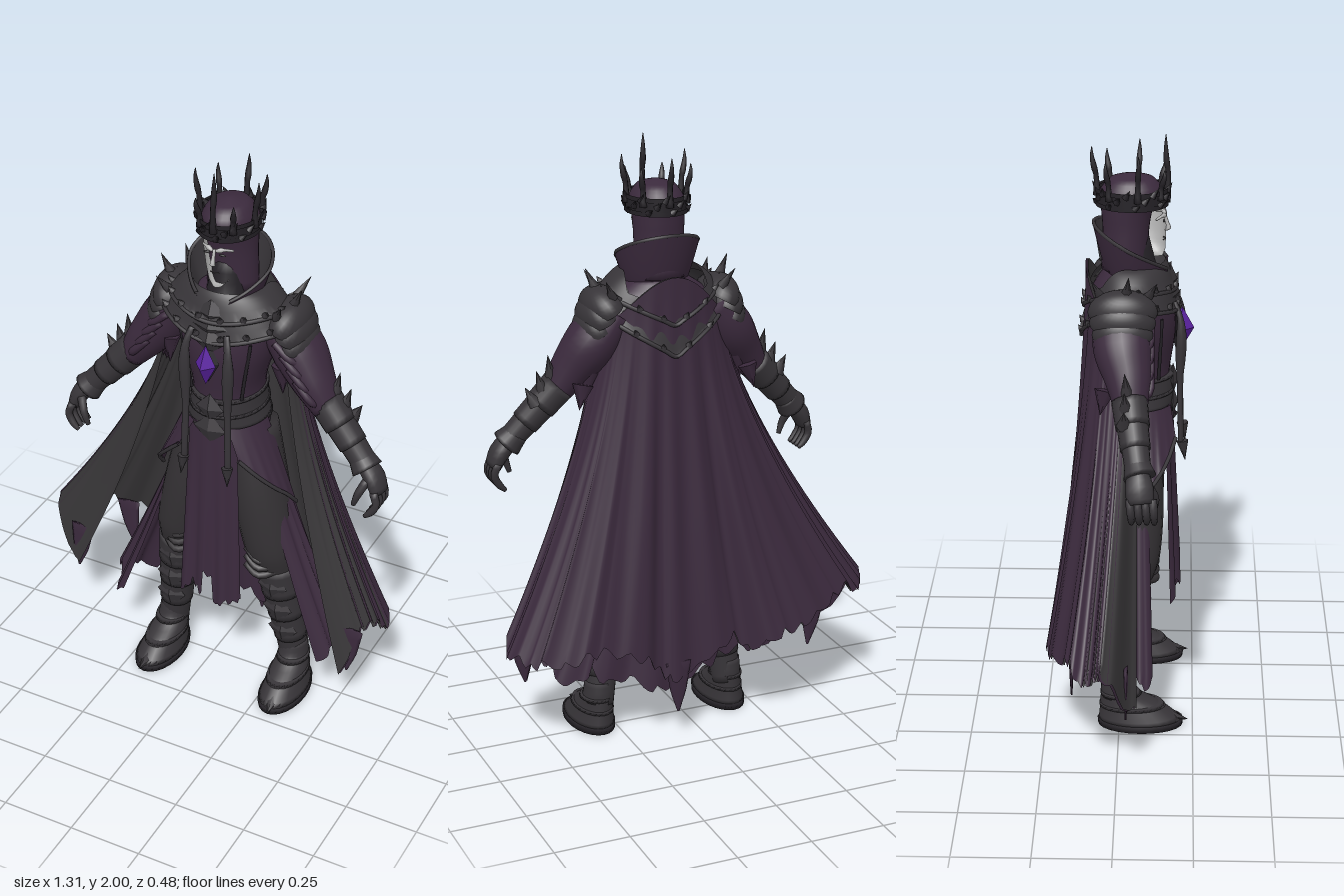
import * as THREE from 'three';

const mat = (name, color, double = true) => {
  const m = new THREE.MeshStandardMaterial({ color, side: double ? THREE.DoubleSide : THREE.FrontSide });
  m.name = name;
  return m;
};
const V = (x, y, z) => new THREE.Vector3(x, y, z);
const lerp = THREE.MathUtils.lerp;
const hash = n => { const s = Math.sin(n * 127.1 + 3.7) * 43758.5453; return s - Math.floor(s); };
// Frayed hem: uneven saw teeth, 0 to 1
const rag = (u, n) => {
  const k = Math.floor(u * n), f = u * n - k;
  return lerp(hash(k), hash(k + 1), f) * 0.6 + 0.4 * Math.abs(f * 2 - 1) * hash(k + 50);
};

function finish(pos, idx) {
  const g = new THREE.BufferGeometry();
  g.setAttribute('position', new THREE.Float32BufferAttribute(pos, 3));
  g.setIndex(idx);
  g.computeVertexNormals();
  return g;
}
// Open cloth or plate surface from fn(u, v)
function sheet(fn, nu, nv) {
  const pos = [], idx = [];
  for (let i = 0; i <= nv; i++) for (let j = 0; j <= nu; j++) pos.push(...fn(j / nu, i / nv));
  for (let i = 0; i < nv; i++) for (let j = 0; j < nu; j++) {
    const a = i * (nu + 1) + j, c = a + nu + 1;
    idx.push(a, c, a + 1, a + 1, c, c + 1);
  }
  return finish(pos, idx);
}
// Closed loft along points [x, y, z, side radius, depth radius]; level keeps the rings horizontal
function limb(pts, steps = 16, sides = 20, level = false) {
  const path = new THREE.CatmullRomCurve3(pts.map(p => V(p[0], p[1], p[2])));
  const rad = new THREE.CatmullRomCurve3(pts.map(p => V(p[3], p[4] ?? p[3], 0)));
  const pos = [], idx = [];
  for (let i = 0; i <= steps; i++) {
    const t = i / steps, c = path.getPoint(t), r = rad.getPoint(t), T = level ? V(0, -1, 0) : path.getTangent(t);
    const S = V().crossVectors(T, V(0, 0, 1)).normalize(), N = V().crossVectors(S, T);
    for (let j = 0; j < sides; j++) {
      const a = j / sides * Math.PI * 2;
      const p = c.clone().addScaledVector(S, Math.cos(a) * r.x).addScaledVector(N, Math.sin(a) * r.y);
      pos.push(p.x, p.y, p.z);
    }
  }
  for (let i = 0; i < steps; i++) for (let j = 0; j < sides; j++) {
    const a = i * sides + j, b = i * sides + (j + 1) % sides;
    idx.push(a, a + sides, b, b, a + sides, b + sides);
  }
  const n = pos.length / 3, last = steps * sides;
  pos.push(...path.getPoint(0).toArray(), ...path.getPoint(1).toArray());
  for (let j = 0; j < sides; j++) {
    const k = (j + 1) % sides;
    idx.push(n, j, k, n + 1, last + k, last + j);
  }
  return finish(pos, idx);
}

export function createModel() {
  const cloth = mat('purple cloth', 0x3b2a3d), lining = mat('grey lining', 0x383638);
  const armor = mat('dark armor', 0x373438), trim = mat('black iron', 0x242126);
  const trousers = mat('trouser cloth', 0x343134), skin = mat('pale skin', 0xb2b2b2, false);
  const gemMat = mat('violet gem', 0x5a22a0, false);
  const root = new THREE.Group(), body = new THREE.Group();
  body.name = 'figure';
  body.position.x = 0.075;
  root.add(body);
  const add = (name, geo, m) => {
    const mesh = new THREE.Mesh(geo, m);
    mesh.name = name;
    body.add(mesh);
    return mesh;
  };
  const diamond = (name, at, size, m) => {
    const d = add(name, new THREE.OctahedronGeometry(1), m);
    d.position.set(...at);
    d.scale.set(...size);
  };
  const spike = (name, a, b, r, m = trim) => {
    const A = V(...a), B = V(...b), d = B.clone().sub(A);
    const mesh = add(name, new THREE.ConeGeometry(r, d.length(), 6), m);
    mesh.position.copy(A).lerp(B, 0.5);
    mesh.quaternion.setFromUnitVectors(V(0, 1, 0), d.normalize());
  };
  // Overlapping flared plates between two points
  const plates = (name, a, b, ra, rb, n, m) => {
    for (let i = 0; i < n; i++) {
      const at = t => a.map((c, k) => lerp(c, b[k], t));
      const t0 = i / n, t1 = (i + 1.2) / n, r0 = lerp(ra, rb, t0), r1 = lerp(ra, rb, t1);
      add(name, limb([[...at(t0), r0], [...at((t0 + t1) / 2), (r0 + r1) / 2 + 0.002], [...at(t1), r1 + 0.005]], 5), m);
    }
  };

  // Torso and belt
  add('torso', limb([[0, 1.56, 0.03, 0.09, 0.08], [0, 1.48, 0.03, 0.18, 0.13], [0, 1.38, 0.035, 0.165, 0.145],
    [0, 1.2, 0.03, 0.116, 0.13], [0, 1.05, 0.03, 0.135, 0.13], [0, 0.92, 0.02, 0.16, 0.11]], 24, 32), cloth);
  add('belt', limb([[0, 1.2, 0.03, 0.12, 0.137], [0, 1.15, 0.03, 0.124, 0.143], [0, 1.09, 0.03, 0.137, 0.142]], 8, 32), armor);
  for (const [y, r] of [[1.195, 0.122], [1.14, 0.128], [1.09, 0.138]])
    add('beltRim', limb([[0, y + 0.005, 0.03, r, 0.145], [0, y - 0.005, 0.03, r + 0.002, 0.147]], 2, 32), armor);
  for (const [y, w] of [[1.17, 0.05], [1.09, 0.06]]) diamond('buckle', [0, y, 0.172], [w, 0.055, 0.018], armor);
  // Gem in its setting
  diamond('gemSetting', [0, 1.35, 0.18], [0.038, 0.075, 0.02], trim);
  diamond('gem', [0, 1.35, 0.2], [0.036, 0.072, 0.04], gemMat);

  // Cape with pleats and torn hem, plus its lining
  const hem = new THREE.CatmullRomCurve3([[0.53, 0.22, 0.09], [0.61, 0.36, 0.03], [0.645, 0.38, -0.04], [0.58, 0.35, -0.14],
    [0.4, 0.33, -0.2], [0.2, 0.3, -0.2], [0.08, 0.24, -0.2], [-0.1, 0.3, -0.185], [-0.25, 0.34, -0.24], [-0.45, 0.38, -0.19],
    [-0.62, 0.43, -0.11], [-0.65, 0.41, -0.05], [-0.52, 0.25, 0.06]].map(p => V(p[0] - 0.075, p[1], p[2])));
  const cape = inset => (u, v) => {
    const th = lerp(-0.25, Math.PI + 0.25, u), s = Math.sin(th), h = hem.getPoint(u), k = Math.pow(v, 1.4);
    const pleat = (0.011 * Math.sin(u * 75) + 0.007 * Math.sin(u * 41 + 1)) * Math.min(1, v * 1.6);
    const x = lerp(0.215 * Math.cos(th), h.x, k), z = lerp(0.02 - 0.135 * s, h.z, k) + pleat * Math.max(s, 0.2);
    const y = lerp(1.43 + 0.15 * Math.max(0, s) ** 3, h.y - 0.06 + 0.13 * rag(u, 34), v);
    return [x * (1 - inset) + pleat * 0.3 * Math.cos(th), y, z + inset];
  };
  add('cape', sheet(cape(0), 180, 26), cloth);
  add('capeLining', sheet(cape(0.007), 180, 26), lining);
  // Long torn tails along the cape hem
  for (const [x, y, z, dx] of [[0.48, 0.36, 0.07, -0.01], [-0.585, 0.4, 0.03, -0.02], [-0.5, 0.42, -0.15, 0.02], [0.02, 0.28, -0.19, 0]])
    add('capeTail', limb([[x, y, z, 0.045, 0.008], [x + dx / 2, y - 0.1, z, 0.03, 0.006], [x + dx, y - 0.18, z, 0.004, 0.003]], 6, 8), cloth);

  // Robe skirt open at the front, and front tabard
  add('robeSkirt', sheet((u, v) => {
    const th = lerp(-0.5, Math.PI + 0.5, u), s = Math.sin(th), c = Math.cos(th);
    const p = 0.012 * v * Math.sin(u * 60);
    return [c * (lerp(0.13, 0.43, v ** 1.15) + p), lerp(1.08, 0.2 + 0.14 * rag(u, 22) - 0.1 * Math.max(0, s) ** 12, v),
      0.03 - s * (lerp(0.12, 0.18, v) + p)];
  }, 110, 18), cloth);
  add('tabard', sheet((u, v) => {
    const x = (u - 0.5) * 2, split = Math.abs(x) < 0.12 ? 0.1 : 0;
    return [x * lerp(0.085, 0.115, v), lerp(1.1, 0.38 + 0.1 * rag(u, 9) + split, v),
      lerp(0.172, 0.195, v) - 0.025 * x * x + 0.01 * v * Math.sin(u * 19)];
  }, 40, 14), cloth);

  // High flared collar: purple outside, dark inside, open at the throat
  const collar = inset => (u, v) => {
    const a = lerp(-1, 1, u) * lerp(2.95, 2.6, v), back = (1 + Math.cos(a)) / 2;
    const r = lerp(0.095, 0.142, v ** 0.8) - inset;
    return [Math.sin(a) * r * lerp(0.8, 1, Math.min(1, back * 2)), lerp(1.49 + 0.05 * back, 1.55 + 0.16 * back ** 0.75, v),
      0.045 - Math.cos(a) * (r - 0.004) - 0.012 * (1 - back)];
  };
  add('collar', sheet(collar(0), 48, 8), cloth);
  add('collarLining', sheet(collar(0.008), 48, 8), armor);
  add('collarRim', new THREE.TubeGeometry(new THREE.CatmullRomCurve3(Array.from({ length: 25 }, (_, i) => V(...collar(0.004)(i / 24, 1)))), 60, 0.006, 6), armor);
  add('neck', limb([[0, 1.66, 0.04, 0.05], [0, 1.56, 0.05, 0.065], [0, 1.48, 0.06, 0.1, 0.09]], 6), trim);

  // Armored mantle in two layers, dropping to a V in front and behind
  const mantle = (v0, v1, lift) => (u, v) => {
    const th = u * Math.PI * 2, s = Math.sin(th), c = Math.abs(Math.cos(th));
    const back = s < 0 ? 1 - c : 0, front = Math.max(0, s) ** 4;
    const k = lerp(Math.max(v0, Math.min(v1 - 0.2, 2.2 * back)), v1, v), edge = v > 0.99 ? 0.018 * rag(u, 40) : 0;
    return [Math.cos(th) * (lerp(0.11, 0.225, k) + lift), 1.575 - 0.12 * k ** 1.6 - (0.14 * back + 0.04 * front) * k + lift + edge,
      0.03 + s * (lerp(0.1, 0.155, k) + lift)];
  };
  add('mantleLower', sheet(mantle(0.4, 1, 0.004), 120, 6), armor);
  add('mantleUpper', sheet(mantle(0, 0.7, 0.012), 120, 6), armor);
  for (const [v1, l] of [[1, 0.006], [0.7, 0.014]]) {
    const f = mantle(0, v1, l), ring = [];
    for (let i = 0; i < 40; i++) ring.push(V(...f(i / 40, 0.97)));
    add('mantleRim', new THREE.TubeGeometry(new THREE.CatmullRomCurve3(ring, true), 120, 0.007, 6, true), armor);
    for (let i = 0; i < 16; i++) {
      const p = f((i + 0.5) / 16, 0.9), d = [p[0] * 1.08, p[1] + 0.02, 0.03 + (p[2] - 0.03) * 1.08];
      spike('mantleThorn', p, d, 0.012, armor);
    }
  }
  for (const y of [1.52, 1.475, 1.43]) diamond('gorgetPlate', [0, y, 0.165 + (1.5 - y) * 0.2], [0.06, 0.05, 0.022], armor);

  for (const s of [1, -1]) {
    // Pauldron with layered plates and spikes
    for (const [x, y, r] of [[0.2, 1.47, 0.08], [0.217, 1.44, 0.076], [0.232, 1.405, 0.07]]) {
      const p = add('pauldron', new THREE.SphereGeometry(1, 24, 10, 0, Math.PI * 2, 0, Math.PI * 0.5), armor);
      p.position.set(s * x, y, 0.01);
      p.scale.set(r * 0.85, r, r * 1.4);
      p.rotation.z = -s * 0.5;
    }
    spike('shoulderSpike', [s * 0.21, 1.52, 0.02], [s * 0.25, 1.605, 0.03], 0.022, armor);
    spike('shoulderSpike', [s * 0.19, 1.52, -0.06], [s * 0.225, 1.585, -0.09], 0.017, armor);
    spike('shoulderSpike', [s * 0.19, 1.52, 0.09], [s * 0.22, 1.575, 0.12], 0.017, armor);
    // Sleeve with folds and torn strips
    add('sleeve', limb([[s * 0.17, 1.46, 0.01, 0.07, 0.09], [s * 0.235, 1.37, 0.01, 0.085, 0.095], [s * 0.3, 1.28, 0.03, 0.07, 0.075],
      [s * 0.355, 1.2, 0.04, 0.048, 0.053]], 14), cloth);
    for (let i = 0; i < 4; i++) spike('sleeveTatter', [s * (0.2 + i * 0.03), 1.33 - i * 0.03, 0.06 - 0.035 * i],
      [s * (0.205 + i * 0.035), 1.22 - i * 0.02, 0.06 - 0.04 * i], 0.035, cloth);
    for (let i = 0; i < 4; i++) add('sleeveFold', limb([[s * (0.19 + i * 0.025), 1.43 - i * 0.04, 0.1, 0.012],
      [s * (0.25 + i * 0.025), 1.38 - i * 0.045, 0.095, 0.014], [s * (0.3 + i * 0.015), 1.35 - i * 0.045, 0.045, 0.008]], 8, 8), cloth);
    // Forearm armor
    plates('vambrace', [s * 0.345, 1.225, 0.035], [s * 0.495, 1.06, 0.065], 0.058, 0.038, 3, armor);
    for (let i = 0; i < 3; i++) spike('elbowSpike', [s * (0.37 + i * 0.03), 1.235 - i * 0.03, 0.03 - i * 0.005],
      [s * (0.385 + i * 0.04), 1.335 - i * 0.05, 0.02], 0.026, armor);
    plates('gauntletCuff', [s * 0.48, 1.075, 0.06], [s * 0.508, 1.043, 0.07], 0.04, 0.046, 1, armor);
    // Hand
    add('palm', limb([[s * 0.505, 1.05, 0.065, 0.032, 0.035], [s * 0.54, 1.01, 0.07, 0.032, 0.045], [s * 0.56, 0.965, 0.075, 0.024, 0.042]], 6, 12), armor);
    for (let i = 0; i < 4; i++) {
      const z = 0.04 + i * 0.024;
      add('finger', limb([[s * 0.555, 0.98, z, 0.014], [s * 0.567, 0.94, z + 0.004, 0.013], [s * 0.55, 0.905, z + 0.006, 0.012],
        [s * 0.53, 0.885, z + 0.006, 0.007]], 8, 8), armor);
    }
    add('thumb', limb([[s * 0.525, 1.01, 0.1, 0.015], [s * 0.505, 0.965, 0.12, 0.013], [s * 0.49, 0.92, 0.12, 0.008]], 6, 8), armor);

    // Ribbons on the coat front, ending in pointed weights
    add('coatRibbon', limb([[s * 0.06, 1.46, 0.175, 0.011, 0.008], [s * 0.075, 1.4, 0.195, 0.013, 0.01], [s * 0.075, 1.2, 0.195, 0.013, 0.01],
      [s * 0.08, 0.97, 0.2, 0.012, 0.009]], 14, 8), armor);
    spike('ribbonTip', [s * 0.08, 0.98, 0.205], [s * 0.085, 0.91, 0.215], 0.02, armor);
    add('chestSeam', limb([[s * 0.125, 1.42, 0.135, 0.006], [s * 0.105, 1.3, 0.13, 0.006], [s * 0.09, 1.2, 0.125, 0.006]], 6, 6), trim);
    // Pointed hip flap with dark border
    const flap = (u, v) => {
      const a = lerp(0.45, 1.55, u), tip = lerp(1.0, 0.79, u ** 0.8) + 0.03 * rag(u, 5);
      return [s * Math.sin(a) * lerp(0.14, 0.25, v), lerp(1.1, tip, v), 0.03 + Math.cos(a) * lerp(0.15, 0.17, v)];
    };
    add('hipFlap', sheet(flap, 24, 8), cloth);
    add('flapBorder', new THREE.TubeGeometry(new THREE.CatmullRomCurve3([0, 0.25, 0.5, 0.75, 1].map(u => V(...flap(u, 1)))), 16, 0.007, 6), armor);

    // Legs and boots
    add('trouserLeg', limb([[s * 0.08, 1.05, 0.02, 0.08, 0.1], [s * 0.125, 0.8, 0.04, 0.095, 0.105], [s * 0.165, 0.6, 0.04, 0.092, 0.095],
      [s * 0.185, 0.5, 0.03, 0.07, 0.07]], 16), trousers);
    for (let i = 0; i < 3; i++) add('trouserFold', limb([[s * 0.1, 0.6 - i * 0.035, 0.105, 0.01], [s * 0.16, 0.57 - i * 0.03, 0.12, 0.013],
      [s * 0.24, 0.6 - i * 0.03, 0.065, 0.01]], 8, 8), trousers);
    plates('greave', [s * 0.185, 0.52, 0.03], [s * 0.235, 0.12, -0.01], 0.077, 0.047, 4, armor);
    for (const [y, x, z] of [[0.45, 0.192, 0.085], [0.35, 0.205, 0.07], [0.25, 0.218, 0.05]])
      diamond('shinChevron', [s * x, y, z], [0.055, 0.065, 0.022], armor);
    add('boot', limb([[s * 0.235, 0.18, -0.008, 0.048, 0.05], [s * 0.237, 0.12, 0, 0.052, 0.062], [s * 0.24, 0.075, 0.04, 0.062, 0.105],
      [s * 0.243, 0.02, 0.072, 0.076, 0.142]], 12, 24, true), armor);
    add('sole', limb([[s * 0.243, 0.022, 0.072, 0.079, 0.146], [s * 0.243, 0, 0.072, 0.079, 0.144]], 1, 24, true), trim);
    spike('bootToe', [s * 0.243, 0.03, 0.16], [s * 0.252, 0.02, 0.235], 0.028, armor);
    for (const [y, z, w, d] of [[0.12, 0.001, 0.054, 0.065], [0.075, 0.04, 0.064, 0.108]])
      add('bootStrap', limb([[s * 0.24, y + 0.006, z, w, d], [s * 0.24, y - 0.006, z + 0.005, w + 0.002, d + 0.005]], 1, 24, true), armor);

    // Facial features
    const eye = add('eyeSocket', new THREE.SphereGeometry(1, 12, 8), lining);
    eye.position.set(s * 0.027, 1.722, 0.138);
    eye.scale.set(0.012, 0.004, 0.004);
    add('brow', limb([[s * 0.006, 1.735, 0.143, 0.005], [s * 0.03, 1.74, 0.134, 0.005], [s * 0.052, 1.732, 0.113, 0.004]], 6, 8), skin);
  }

  // Head, hood and face
  add('face', limb([[0, 1.6, 0.115, 0.016, 0.02], [0, 1.625, 0.09, 0.038, 0.054], [0, 1.67, 0.075, 0.054, 0.07], [0, 1.73, 0.07, 0.064, 0.076],
    [0, 1.79, 0.06, 0.066, 0.082]], 14, 24, true), skin);
  add('nose', limb([[0, 1.738, 0.14, 0.005], [0, 1.71, 0.148, 0.006], [0, 1.69, 0.153, 0.009, 0.008], [0, 1.683, 0.146, 0.006]], 8, 10, true), skin);
  add('mouth', limb([[-0.016, 1.655, 0.136, 0.002], [0, 1.656, 0.143, 0.002], [0.016, 1.655, 0.136, 0.002]], 6, 6), lining);
  add('hood', limb([[0, 1.872, 0.035, 0.012, 0.014], [0, 1.857, 0.035, 0.06, 0.07], [0, 1.81, 0.033, 0.088, 0.103], [0, 1.765, 0.02, 0.086, 0.085],
    [0, 1.68, 0.015, 0.083, 0.075], [0, 1.56, 0.01, 0.085, 0.075]], 20, 28, true), cloth);

  // Crown band, thorns and tall spikes
  const ringAt = (deg, k) => {
    const a = deg * Math.PI / 180;
    return [Math.sin(a) * 0.097 * k, 0.035 + Math.cos(a) * 0.113 * k];
  };
  for (const [y0, y1, k] of [[1.825, 1.775, 1], [1.83, 1.815, 1.04], [1.785, 1.77, 1.04]])
    add('crownBand', sheet((u, v) => { const [x, z] = ringAt(u * 360, k); return [x, lerp(y0, y1, v), z]; }, 48, 2), trim);
  for (let i = 0; i < 24; i++) {
    const d = i * 15 + 5, [x, z] = ringAt(d, 1), [X, Z] = ringAt(d + 8, 1.14);
    spike('crownThorn', [x, 1.78 + (i % 3) * 0.018, z], [X, 1.795 + (i % 3) * 0.025, Z], 0.012);
  }
  for (const [d, top] of [[0, 2], [36, 1.9], [-36, 1.9], [80, 1.955], [-80, 1.955], [130, 1.93], [-130, 1.93], [180, 1.96]]) {
    const at = (k, y, r) => { const [x, z] = ringAt(d, k); return [x, y, z, r]; };
    const tilt = d === 0 ? 0.95 : 1.14;
    add('crownSpike', limb([at(1, 1.8, 0.014), at(1.02, lerp(1.8, top, 0.4), 0.009), at((1 + tilt) / 2, lerp(1.8, top, 0.55), 0.011),
      at(tilt, lerp(1.8, top, 0.8), 0.007), at(tilt, top, 0.001)], 12, 6, true), trim);
  }
  return root;
}
